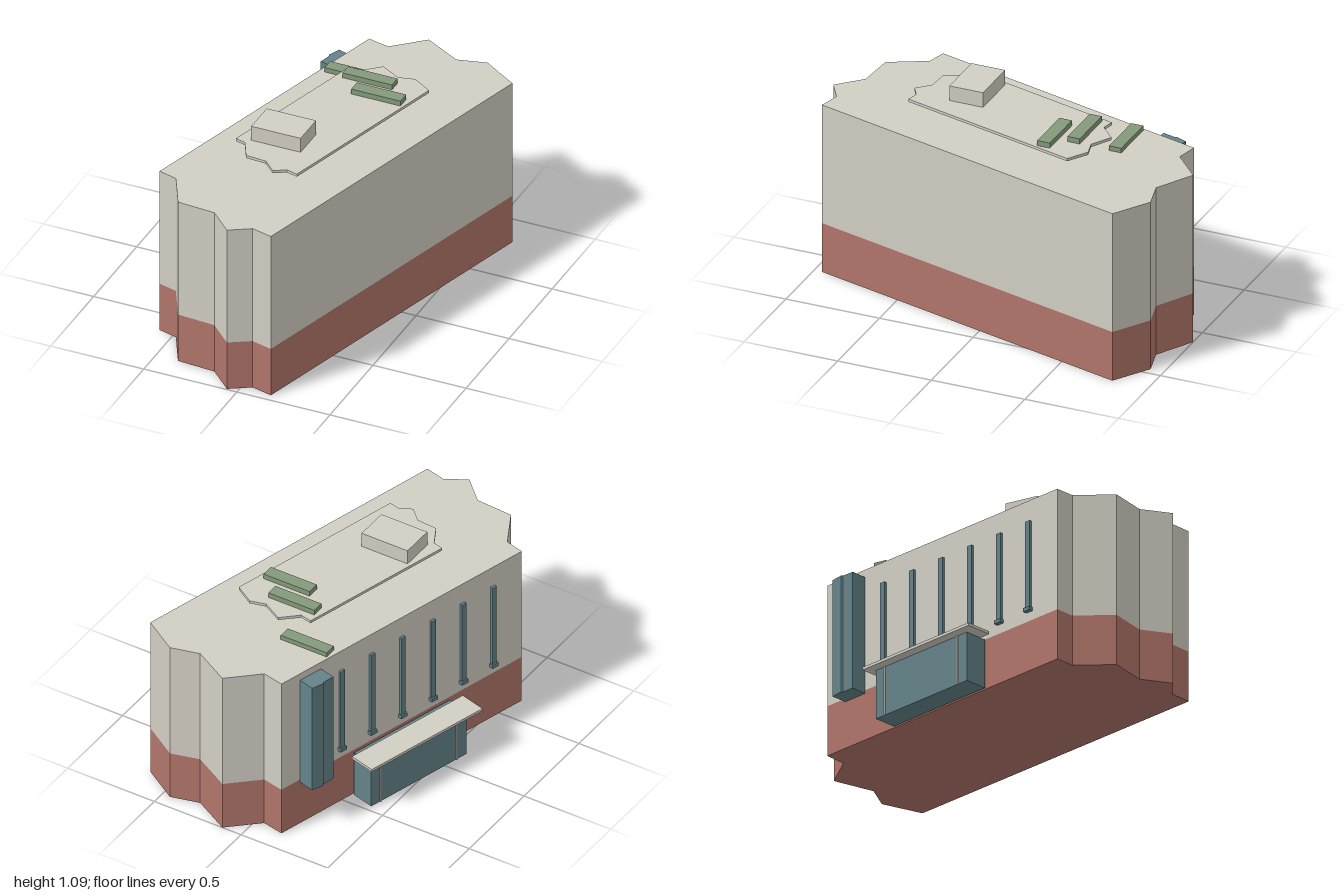
import * as THREE from 'three';

const paint = (color) => new THREE.MeshStandardMaterial({ color, flatShading: true });
const stone = paint(0xd2cec4), brick = paint(0xb0756a), green = paint(0x84997a), glass = paint(0x64838a);

// Building plan as [x, z] corners: long straight sides, zigzag ends
const PLAN = [
  [-0.58, 0.643], [-0.48, 0.67], [-0.38, 0.862], [-0.178, 0.876], [-0.056, 0.995], [0.052, 0.93], [0.163, 0.958],
  [0.645, -0.808], [0.456, -0.928], [0.305, -0.89], [0.108, -1], [-0.045, -0.86], [-0.16, -0.885],
];
// Stair bay plan with a shallow pleat on its outer face
const BAY = [
  [-0.277, -0.79], [-0.303, -0.728], [-0.298, -0.718], [-0.314, -0.655], [-0.215, -0.63], [-0.18, -0.762],
];

function add(parent, name, geometry, material) {
  const mesh = new THREE.Mesh(geometry, material);
  mesh.name = name;
  parent.add(mesh);
  return mesh;
}

// Upright prism over a plan, from y0 to y1
function prism(parent, name, plan, y0, y1, material) {
  const shape = new THREE.Shape(plan.map(([x, z]) => new THREE.Vector2(x, -z)));
  const geometry = new THREE.ExtrudeGeometry(shape, { depth: y1 - y0, bevelEnabled: false });
  geometry.rotateX(-Math.PI / 2).translate(0, y0, 0);
  return add(parent, name, geometry, material);
}

// Box given by its limits on each axis
function box(parent, name, [x0, x1], [y0, y1], [z0, z1], material) {
  const geometry = new THREE.BoxGeometry(x1 - x0, y1 - y0, z1 - z0);
  geometry.translate((x0 + x1) / 2, (y0 + y1) / 2, (z0 + z1) / 2);
  return add(parent, name, geometry, material);
}

export function createModel() {
  const model = new THREE.Group();
  model.name = 'building';

  // Main block
  prism(model, 'brickBase', PLAN, 0, 0.267, brick);
  prism(model, 'upperStoreys', PLAN, 0.267, 0.915, stone);

  // Raised roof slab, a reduced copy of the plan
  prism(model, 'roofSlab', PLAN.map(([x, z]) => [x * 0.547 + 0.013, z * 0.547]), 0.995, 1.01, stone);
  box(model, 'roofHouse', [-0.23, 0.035], [1.01, 1.09], [0.155, 0.335], stone);

  // Roof planters
  box(model, 'lowerPlanter', [-0.23, 0.035], [0.915, 0.94], [-0.583, -0.518], green);
  box(model, 'middlePlanter', [-0.065, 0.2], [1.01, 1.038], [-0.435, -0.37], green);
  box(model, 'frontPlanter', [0.035, 0.3], [1.01, 1.038], [-0.32, -0.253], green);

  // Glazed stair bay
  prism(model, 'stairBay', BAY, 0.25, 0.875, glass);

  // Entrance side: local x runs along the wall, local z points outward
  const side = new THREE.Group();
  side.name = 'entranceSide';
  side.position.set(-0.37, 0, -0.121);
  side.rotation.y = Math.atan2(-0.964, -0.266);
  model.add(side);

  box(side, 'canopy', [-0.365, 0.365], [0.26, 0.275], [0.042, 0.185], stone);
  box(side, 'entranceGlazing', [-0.323, 0.305], [0, 0.26], [0.012, 0.135], glass);
  for (const x of [-0.26, 0.24]) {
    box(side, 'canopyPost', [x - 0.005, x + 0.005], [0, 0.26], [0.13, 0.14], stone);
  }

  // Slit windows, each with a small sill block
  for (let i = 0; i < 6; i++) {
    const x = -0.4 + 0.2 * i;
    box(side, 'slitWindow', [x - 0.014, x + 0.014], [0.32, 0.8], [-0.005, 0.014], glass);
    box(side, 'windowSill', [x - 0.02, x + 0.02], [0.315, 0.335], [-0.005, 0.022], glass);
  }

  return model;
}
